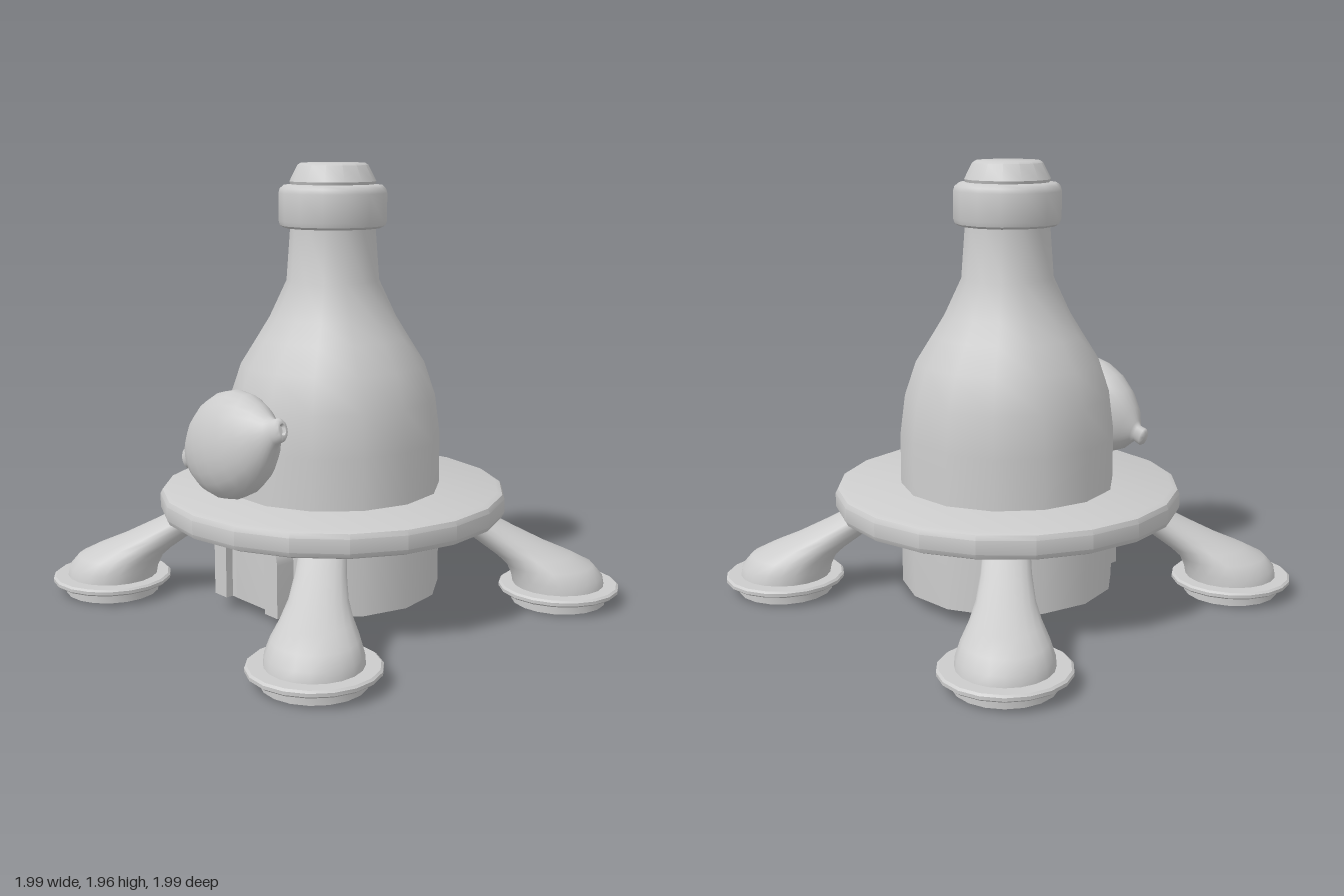
import * as THREE from 'three';
import { toCreasedNormals } from 'three/addons/utils/BufferGeometryUtils.js';

const material = new THREE.MeshStandardMaterial({ color: 0xcccccc });

function addMesh(parent, name, geometry) {
  const mesh = new THREE.Mesh(geometry, material);
  mesh.name = name;
  parent.add(mesh);
  return mesh;
}

// Profile is [radius, y] pairs, running bottom to top on the outside; a vertex lies on +x
function lathe(profile, sides, crease = 0.6) {
  const geometry = new THREE.LatheGeometry(profile.map(([r, y]) => new THREE.Vector2(r, y)), sides);
  geometry.rotateY(Math.PI / 2);
  return toCreasedNormals(geometry, crease);
}

// Skin over horizontal ellipses: [centre x, y, radius along x, radius along z]
function loft(sections, sides) {
  const positions = [], index = [];
  sections.forEach(([cx, y, a, b], i) => {
    for (let j = 0; j < sides; j++) {
      const t = (j / sides) * Math.PI * 2;
      positions.push(cx + a * Math.cos(t), y, b * Math.sin(t));
      if (i === sections.length - 1) continue;
      const p = i * sides + j, q = i * sides + ((j + 1) % sides);
      index.push(p, p + sides, q, q, p + sides, q + sides);
    }
  });
  const geometry = new THREE.BufferGeometry();
  geometry.setAttribute('position', new THREE.Float32BufferAttribute(positions, 3));
  geometry.setIndex(index);
  geometry.computeVertexNormals();
  return geometry;
}

// Door outline standing on y0 with rounded top corners
function archPath(path, halfWidth, y0, y1, r) {
  path.moveTo(-halfWidth, y0);
  path.lineTo(halfWidth, y0);
  path.lineTo(halfWidth, y1 - r);
  path.absarc(halfWidth - r, y1 - r, r, 0, Math.PI / 2, false);
  path.lineTo(-halfWidth + r, y1);
  path.absarc(-halfWidth + r, y1 - r, r, Math.PI / 2, Math.PI, false);
  path.closePath();
  return path;
}

export function createModel() {
  const model = new THREE.Group();
  model.name = 'bottleLander';

  // Bottle, hollow underneath
  addMesh(model, 'bottleBody', lathe([
    [0, 0.36], [0.465, 0.36], [0.465, 0.06], [0.483, 0.06], [0.483, 0.75], [0.46, 0.93],
    [0.41, 1.08], [0.335, 1.2], [0.28, 1.29], [0.205, 1.45], [0.187, 1.69],
  ], 14));
  addMesh(model, 'bottleCollar', lathe([
    [0.17, 1.68], [0.215, 1.68], [0.232, 1.69], [0.238, 1.71], [0.238, 1.83],
    [0.232, 1.85], [0.215, 1.865], [0.16, 1.87],
  ], 14, 0.7));
  addMesh(model, 'bottleCap', lathe([
    [0.18, 1.85], [0.19, 1.88], [0.155, 1.95], [0.14, 1.96], [0, 1.96],
  ], 14));

  // Platform ring around the bottle
  addMesh(model, 'platform', lathe([
    [0, 0.405], [0.745, 0.405], [0.768, 0.415], [0.778, 0.435], [0.778, 0.495],
    [0.768, 0.515], [0.745, 0.525], [0, 0.525],
  ], 20, 0.5));

  // Door frame on the front
  const frame = new THREE.Shape();
  const [w, t, y0] = [0.222, 0.084, 0.06];
  frame.moveTo(-w, y0);
  frame.lineTo(-w + t, y0);
  frame.lineTo(-w + t, 0.29);
  frame.absarc(-w + t + 0.02, 0.29, 0.02, Math.PI, Math.PI / 2, true);
  frame.lineTo(w - t - 0.02, 0.31);
  frame.absarc(w - t - 0.02, 0.29, 0.02, Math.PI / 2, 0, true);
  frame.lineTo(w - t, y0);
  frame.lineTo(w, y0);
  frame.lineTo(w, 0.295);
  frame.absarc(w - 0.1, 0.295, 0.1, 0, Math.PI / 2, false);
  frame.lineTo(-w + 0.1, 0.395);
  frame.absarc(-w + 0.1, 0.295, 0.1, Math.PI / 2, Math.PI, false);
  frame.closePath();
  const frameGeometry = new THREE.ExtrudeGeometry(frame, { depth: 0.1, bevelEnabled: false, curveSegments: 6 });
  addMesh(model, 'doorFrame', toCreasedNormals(frameGeometry, 0.6)).position.z = 0.405;
  const door = archPath(new THREE.Shape(), 0.15, y0, 0.32, 0.03);
  const doorGeometry = new THREE.ExtrudeGeometry(door, { depth: 0.05, bevelEnabled: false, curveSegments: 4 });
  addMesh(model, 'door', toCreasedNormals(doorGeometry, 0.6)).position.z = 0.42;

  // Lemon leaning against the bottle, flattened front to back
  const lemonGeometry = lathe([
    [0, -0.345], [0.035, -0.345], [0.045, -0.335], [0.043, -0.3], [0.06, -0.285], [0.115, -0.25],
    [0.175, -0.18], [0.215, -0.1], [0.232, -0.01], [0.222, 0.08], [0.185, 0.16], [0.13, 0.225],
    [0.075, 0.27], [0.053, 0.295], [0.05, 0.33], [0.04, 0.343], [0.025, 0.343], [0.02, 0.325], [0, 0.325],
  ], 24, 1.1);
  lemonGeometry.scale(1, 1, 0.63);
  const lemon = addMesh(model, 'lemon', lemonGeometry);
  lemon.position.set(0.005, 0.79, 0.567);
  lemon.rotation.set(-0.12, 0, THREE.MathUtils.degToRad(20 - 90));

  // Four splayed legs with hollow flanged feet
  const legGeometry = loft([
    [1.028, 0.07, 0.205, 0.2], [1.018, 0.12, 0.205, 0.195], [0.985, 0.17, 0.195, 0.175],
    [0.915, 0.215, 0.175, 0.145], [0.82, 0.265, 0.15, 0.12], [0.7, 0.335, 0.125, 0.105],
    [0.585, 0.4, 0.115, 0.1], [0.51, 0.45, 0.115, 0.1],
  ], 20);
  const footGeometry = lathe([
    [0, 0.05], [0.195, 0.05], [0.195, 0], [0.212, 0], [0.212, 0.05],
    [0.26, 0.05], [0.27, 0.058], [0.27, 0.072], [0.26, 0.08], [0, 0.08],
  ], 18, 0.5);
  for (let i = 0; i < 4; i++) {
    const leg = new THREE.Group();
    leg.name = 'leg';
    leg.rotation.y = Math.PI / 4 + (i * Math.PI) / 2;
    addMesh(leg, 'strut', legGeometry);
    addMesh(leg, 'foot', footGeometry).position.x = 1.028;
    model.add(leg);
  }
  return model;
}
